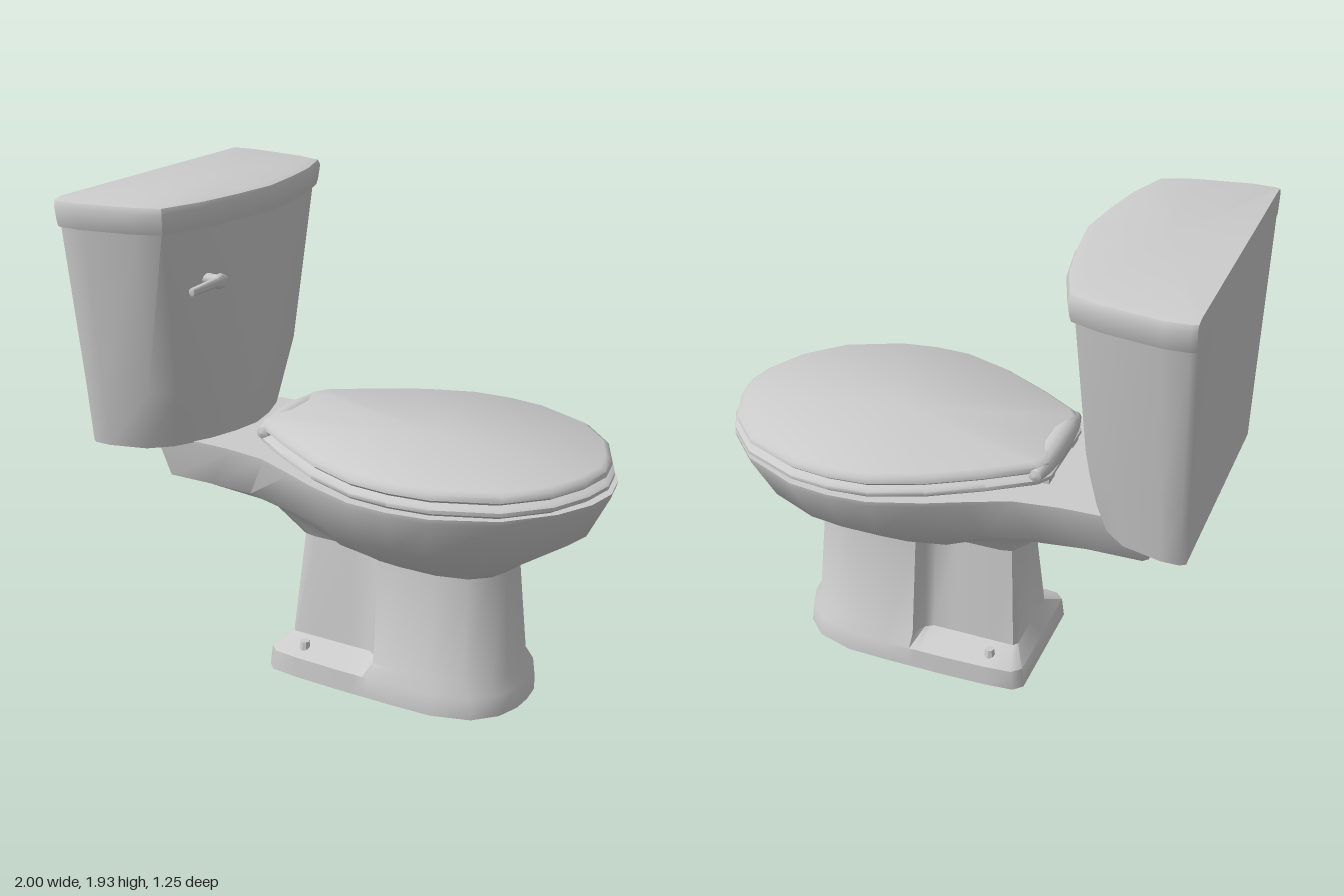
import * as THREE from 'three';
import { toCreasedNormals } from 'three/addons/utils/BufferGeometryUtils.js';

const material = new THREE.MeshStandardMaterial({ color: 0xcccccc, roughness: 0.6 });

function part(name, geometry, parent, crease = 0.65) {
  const mesh = new THREE.Mesh(toCreasedNormals(geometry, crease), material);
  mesh.name = name;
  parent.add(mesh);
  return mesh;
}

// Half outline [x, z] running from back to front, placed at a height (number or rule of x).
const ring = (outline, y, scale = 1, cx = 0) => outline.map(([x, z]) =>
  [cx + (x - cx) * scale, typeof y === 'function' ? y(x) : y, z * scale]);

// Mirrors each half ring across z = 0 and skins the rings from bottom to top, with flat caps.
function loft(halfRings) {
  const rings = halfRings.map(h => [...h, ...h.slice(1, -1).reverse().map(([x, y, z]) => [x, y, -z])]);
  const n = rings[0].length, positions = rings.flat(2), index = [];
  for (let j = 0; j < rings.length - 1; j++) {
    for (let i = 0; i < n; i++) {
      const a = j * n + i, b = j * n + (i + 1) % n;
      index.push(a, b, b + n, a, b + n, a + n);
    }
  }
  [0, rings.length - 1].forEach((j) => {
    const r = rings[j], centre = positions.length / 3;
    positions.push(...[0, 1, 2].map(k => r.reduce((s, p) => s + p[k], 0) / n));
    for (let i = 0; i < n; i++) {
      const a = j * n + i, b = j * n + (i + 1) % n;
      index.push(...(j ? [a, b, centre] : [b, a, centre]));
    }
  });
  const g = new THREE.BufferGeometry();
  g.setAttribute('position', new THREE.Float32BufferAttribute(positions, 3));
  g.setIndex(index);
  return g;
}

// Round profile [radius, z] turned about the z axis
function spindle(profile, sides) {
  return new THREE.LatheGeometry(profile.map(p => new THREE.Vector2(...p)), sides).rotateX(Math.PI / 2);
}

export function createModel() {
  const model = new THREE.Group();
  model.name = 'toilet';

  // Bowl: rim with rear deck, flaring in to the neck
  const rim = [[-.85, 0], [-.85, .27], [-.83, .3], [-.48, .31], [-.3, .335], [-.15, .4], [0, .47],
    [.2, .54], [.36, .55], [.52, .53], [.75, .425], [.9, .27], [.975, .13], [1, 0]];
  const belly = [[-.81, 0], [-.81, .24], [-.79, .26], [-.6, .26], [-.4, .27], [-.18, .33], [0, .39],
    [.2, .46], [.34, .47], [.48, .45], [.68, .36], [.81, .23], [.88, .11], [.91, 0]];
  const throat = [[-.4, 0], [-.4, .15], [-.39, .17], [-.33, .19], [-.24, .2], [-.1, .22], [0, .25],
    [.15, .285], [.27, .29], [.4, .285], [.55, .23], [.64, .16], [.68, .08], [.69, 0]];
  // Pedestal: round front column with a narrower rear column
  const neck = [[-.24, 0], [-.24, .11], [-.23, .13], [-.18, .14], [0, .14], [.09, .14], [.12, .17],
    [.15, .21], [.25, .22], [.4, .22], [.52, .19], [.59, .13], [.62, .06], [.63, 0]];
  const ankle = [[-.275, 0], [-.275, .16], [-.26, .18], [-.18, .18], [0, .18], [.09, .18], [.12, .2],
    [.15, .26], [.25, .27], [.4, .265], [.53, .23], [.62, .16], [.65, .08], [.66, 0]];
  const foot = [[-.325, 0], [-.325, .25], [-.29, .285], [-.18, .295], [0, .3], [.09, .3], [.12, .3],
    [.15, .3], [.25, .3], [.42, .295], [.57, .25], [.65, .17], [.685, .08], [.692, 0]];

  const throatHeight = x => 0.71 - 0.1 * THREE.MathUtils.clamp((x + 0.4) / 0.4, 0, 1);
  part('bowl', loft([ring(neck, .56), ring(throat, throatHeight), ring(belly, .75),
    ring(rim, .92, .995, .1), ring(rim, .94)]), model, 0.8);
  part('pedestal', loft([ring(foot, 0, 1.02, .18), ring(foot, .085), ring(ankle, .135),
    ring(neck, .57)]), model, 0.8);

  // Bolt caps on the foot ledge
  for (const side of [-1, 1]) {
    part('boltCap', new THREE.CylinderGeometry(.018, .027, .05, 8), model).position.set(-.18, .11, side * .235);
  }

  // Seat and lid share one egg outline
  const egg = [[-.4, 0], [-.4, .18], [-.37, .23], [-.2, .345], [0, .46], [.2, .535], [.36, .545],
    [.52, .525], [.75, .425], [.89, .28], [.96, .13], [.985, 0]];
  const layer = (y, scale) => ring(egg, x => y - .012 * x, scale, .3);
  part('seat', loft([layer(.953, .97), layer(.966, 1), layer(.98, 1), layer(.991, .975)]), model, 0.9);
  part('lid', loft([layer(1.001, .96), layer(1.013, .985), layer(1.032, .98), layer(1.046, .945)]), model, 0.9);

  // Rolled hinge along the back of the lid
  const hinge = spindle([[0, -.25], [.025, -.24], [.042, -.17], [.052, -.06], [.052, .06],
    [.042, .17], [.025, .24], [0, .25]], 12);
  part('hinge', hinge, model).position.set(-.355, 1.005, 0);
  for (const side of [-1, 1]) {
    part('hingePost', new THREE.BoxGeometry(.06, .07, .07), model).position.set(-.36, .965, side * .14);
  }

  // Tank: flat back, bowed front, tapering downward
  const tankTop = [[-1, 0], [-1, .58], [-.98, .6], [-.88, .6], [-.66, .565], [-.575, .525],
    [-.52, .36], [-.49, .18], [-.475, 0]];
  const tankMiddle = [[-1, 0], [-1, .5], [-.98, .52], [-.9, .52], [-.71, .485], [-.62, .42],
    [-.56, .28], [-.53, .14], [-.515, 0]];
  const tankBottom = [[-1, 0], [-1, .475], [-.98, .49], [-.91, .49], [-.76, .45], [-.68, .38],
    [-.6, .24], [-.56, .12], [-.54, 0]];
  part('tank', loft([ring(tankBottom, .935), ring(tankMiddle, 1.18), ring(tankTop, 1.84)]), model, 0.8);

  // Tank lid with a softened top edge
  const cover = [[-1, 0], [-1, .61], [-.98, .62], [-.89, .625], [-.67, .59], [-.555, .55],
    [-.495, .38], [-.46, .19], [-.437, 0]];
  part('tankLid', loft([ring(cover, 1.825, .975, -1), ring(cover, 1.845, .985, -1),
    ring(cover, 1.905, 1, -1), ring(cover, 1.925, .985, -1), ring(cover, 1.933, .93, -1)]), model, 0.8);

  // Flush lever on the tank front
  const lever = new THREE.Group();
  lever.name = 'flushLever';
  lever.position.set(-.47, 1.62, 0);
  model.add(lever);
  part('leverStem', new THREE.CylinderGeometry(.02, .024, .08, 10).rotateZ(-Math.PI / 2), lever)
    .position.set(-.04, 0, .32);
  part('leverArm', spindle([[0, .28], [.014, .285], [.03, .32], [.03, .335], [.021, .355],
    [.016, .505], [0, .51]], 10), lever).scale.x = .75;

  return model;
}
